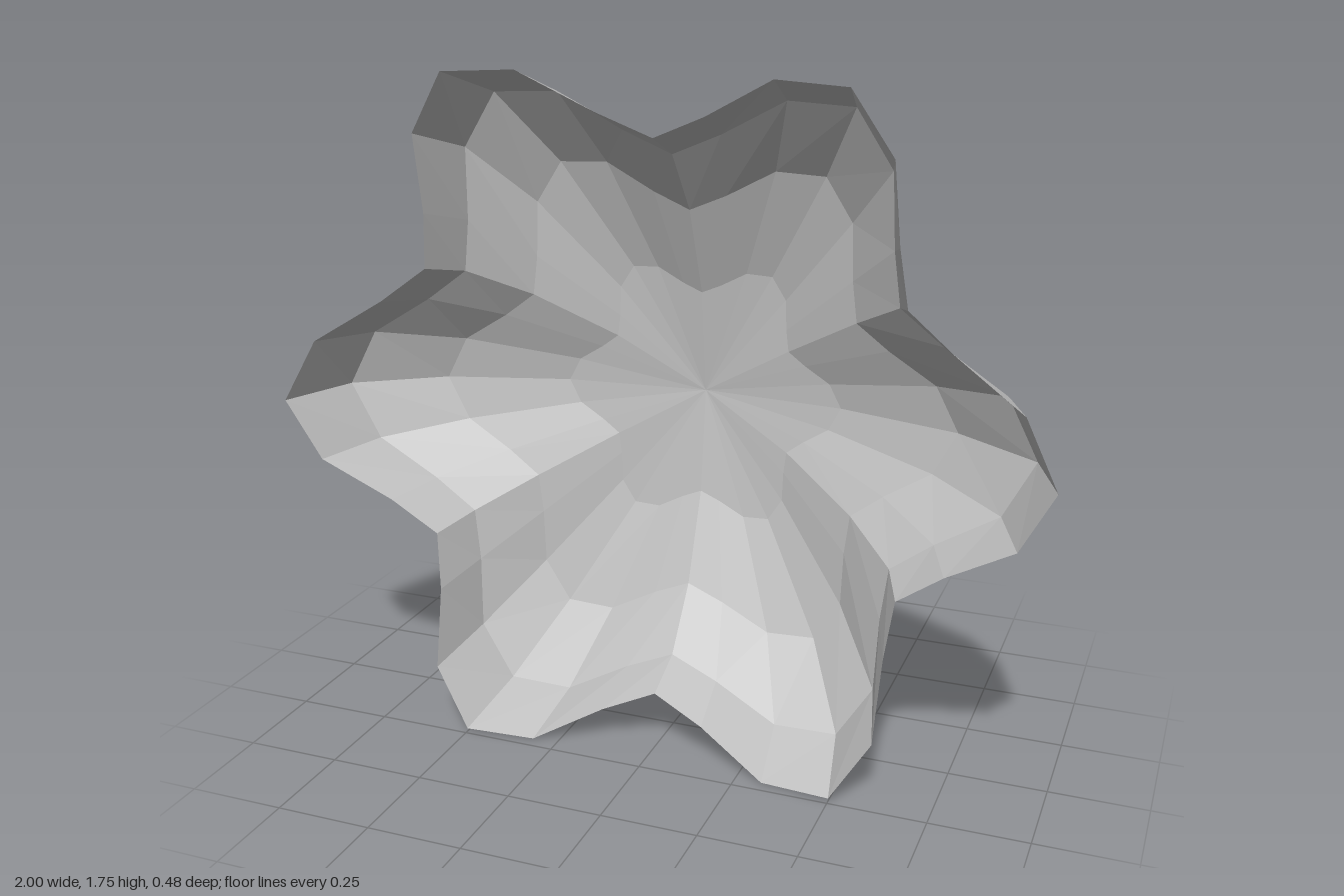
import * as THREE from 'three';

export function createModel() {
  const group = new THREE.Group();
  group.name = 'lobedBowl';

  const grey = new THREE.MeshStandardMaterial({ color: 0xc0c0c0, flatShading: true, side: THREE.DoubleSide });
  grey.name = 'plain grey';

  // Bowl rings from pole to rim: [radius at lobe tip, depth, extra flare at lobe tip]
  const rings = [
    [0, -0.243, 0],
    [0.383, -0.208, 0],
    [0.707, -0.113, 0],
    [0.924, 0.01, 0.027],
    [1, 0.138, 0.102],
  ];
  const geometry = new THREE.LatheGeometry(rings.map(([r, z]) => new THREE.Vector2(r, z)), 36);
  geometry.rotateX(Math.PI / 2); // open side faces +z

  // Pull the round bowl into six lobes, flaring the rim forward at each tip
  const pos = geometry.attributes.position;
  for (let i = 0; i < pos.count; i++) {
    const x = pos.getX(i), y = pos.getY(i);
    const lobe = (1 + Math.cos(6 * Math.atan2(y, x))) / 2;
    const scale = 0.72 + 0.28 * lobe;
    const flare = rings[i % rings.length][2] * lobe;
    pos.setXYZ(i, x * scale, y * scale, pos.getZ(i) + flare);
  }

  const faceted = geometry.toNonIndexed();
  faceted.computeVertexNormals();
  const bowl = new THREE.Mesh(faceted, grey);
  bowl.name = 'bowlShell';
  bowl.position.y = 0.875;
  group.add(bowl);
  return group;
}
